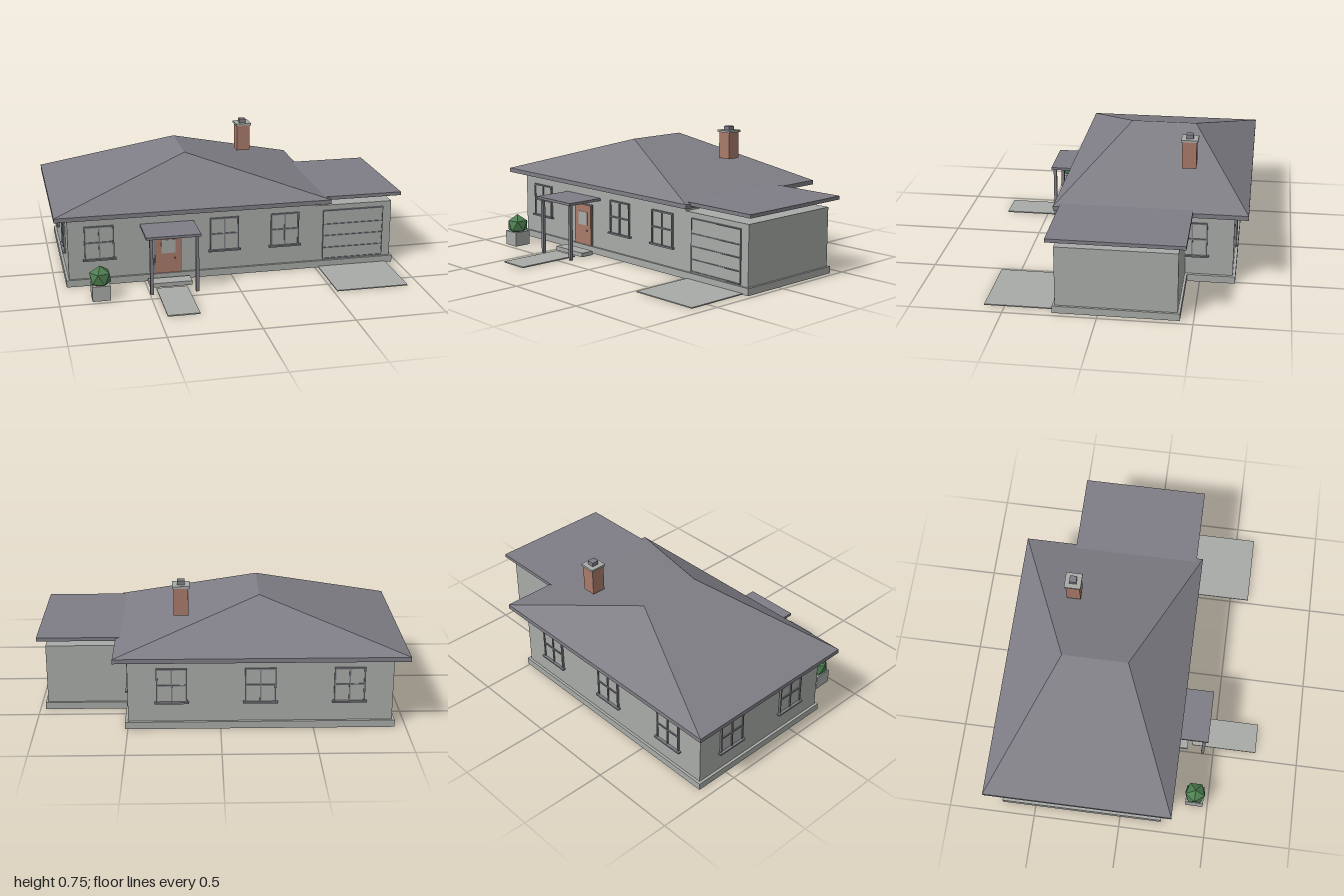
import * as THREE from 'three';

const material = (name, color) => {
  const m = new THREE.MeshStandardMaterial({ color });
  m.name = name;
  return m;
};

export function createModel() {
  const wall = material('pale grey render', 0xa8aba8);
  const slate = material('slate grey', 0x7f7e86);
  const brick = material('brick red', 0xa87a69);
  const leaf = material('leaf green', 0x4f7f52);
  const house = new THREE.Group();
  house.name = 'house';

  // Box given by its min and max on each axis
  const box = (parent, name, mat, [x0, x1], [y0, y1], [z0, z1]) => {
    const mesh = new THREE.Mesh(new THREE.BoxGeometry(x1 - x0, y1 - y0, z1 - z0), mat);
    mesh.position.set((x0 + x1) / 2, (y0 + y1) / 2, (z0 + z1) / 2);
    mesh.name = name;
    parent.add(mesh);
    return mesh;
  };

  // Main block and garage
  box(house, 'mainFoundation', wall, [-0.94, 0.515], [0, 0.04], [-0.695, 0.24]);
  box(house, 'mainWalls', wall, [-0.925, 0.498], [0.04, 0.405], [-0.68, 0.227]);
  box(house, 'garageFoundation', wall, [0.515, 0.97], [0, 0.04], [-0.43, 0.24]);
  box(house, 'garageWalls', wall, [0.498, 0.957], [0.04, 0.375], [-0.417, 0.227]);
  box(house, 'garageRoof', slate, [0.46, 1], [0.418, 0.438], [-0.458, 0.264]);

  // Hipped roof over an eaves slab
  box(house, 'eaves', slate, [-1, 0.57], [0.405, 0.43], [-0.755, 0.3]);
  const hip = new THREE.BufferGeometry();
  hip.setAttribute('position', new THREE.Float32BufferAttribute([
    -1, 0.43, 0.3, 0.57, 0.43, 0.3, 0.57, 0.43, -0.755, -1, 0.43, -0.755,
    -0.215, 0.665, -0.04, -0.215, 0.665, -0.415,
  ], 3));
  hip.setIndex([0, 1, 4, 1, 2, 5, 1, 5, 4, 2, 3, 5, 3, 0, 4, 3, 4, 5]);
  const hipFlat = hip.toNonIndexed();
  hipFlat.computeVertexNormals();
  const roof = new THREE.Mesh(hipFlat, slate);
  roof.name = 'hippedRoof';
  house.add(roof);

  // Chimney
  box(house, 'chimneyStack', brick, [0.17, 0.25], [0.56, 0.715], [-0.45, -0.37]);
  box(house, 'chimneyCap', wall, [0.163, 0.257], [0.715, 0.727], [-0.457, -0.363]);
  box(house, 'chimneyFlue', slate, [0.19, 0.23], [0.727, 0.75], [-0.43, -0.39]);

  // Four-pane window, facing local +z
  const addWindow = (x, z, turn) => {
    const g = new THREE.Group();
    g.name = 'window';
    box(g, 'glass', wall, [-0.08, 0.08], [0.155, 0.342], [0, 0.005]);
    for (const s of [-0.079, 0, 0.079]) {
      box(g, 'uprightBar', slate, [s - 0.004, s + 0.004], [0.152, 0.346], [0, 0.011]);
    }
    for (const y of [0.25, 0.342]) {
      box(g, 'crossBar', slate, [-0.083, 0.083], [y - 0.004, y + 0.004], [0, 0.011]);
    }
    box(g, 'sill', slate, [-0.093, 0.093], [0.147, 0.156], [0, 0.02]);
    g.position.set(x, 0, z);
    g.rotation.y = turn;
    house.add(g);
  };
  for (const x of [-0.75, -0.037, 0.317]) addWindow(x, 0.227, 0);
  for (const x of [-0.69, -0.213, 0.262]) addWindow(x, -0.68, Math.PI);
  for (const z of [-0.453, 0]) addWindow(-0.925, z, -Math.PI / 2);
  addWindow(0.498, -0.453, Math.PI / 2);

  // Front door
  box(house, 'doorFrame', slate, [-0.446, -0.284], [0.04, 0.29], [0.22, 0.232]);
  box(house, 'frontDoor', brick, [-0.438, -0.292], [0.042, 0.283], [0.225, 0.238]);
  box(house, 'doorGlass', wall, [-0.403, -0.322], [0.16, 0.24], [0.236, 0.241]);
  const knob = new THREE.Mesh(new THREE.SphereGeometry(0.005, 8, 6), slate);
  knob.name = 'doorKnob';
  knob.position.set(-0.325, 0.13, 0.241);
  house.add(knob);

  // Porch canopy on two posts
  box(house, 'porchRoof', slate, [-0.52, -0.215], [0.325, 0.34], [0.22, 0.457]);
  for (const x of [-0.49, -0.235]) {
    box(house, 'porchPost', slate, [x - 0.009, x + 0.009], [0, 0.325], [0.428, 0.446]);
  }
  box(house, 'step', wall, [-0.485, -0.245], [0, 0.024], [0.265, 0.345]);
  box(house, 'path', wall, [-0.455, -0.28], [0, 0.007], [0.37, 0.75]);

  // Garage door with panel seams, and driveway
  box(house, 'garageDoor', wall, [0.547, 0.905], [0.042, 0.345], [0.22, 0.233]);
  for (const y of [0.05, 0.117, 0.19, 0.26, 0.342]) {
    box(house, 'garageDoorSeam', slate, [0.547, 0.905], [y - 0.003, y + 0.003], [0.23, 0.238]);
  }
  for (const x of [0.547, 0.905]) {
    box(house, 'garageDoorEdge', slate, [x - 0.002, x + 0.002], [0.045, 0.345], [0.225, 0.236]);
  }
  box(house, 'driveway', wall, [0.52, 0.93], [0, 0.006], [0.24, 0.61]);

  // Planter with a faceted bush, one corner pointing up
  box(house, 'planter', wall, [-0.82, -0.72], [0, 0.085], [0.37, 0.472]);
  const bushShape = new THREE.IcosahedronGeometry(0.066, 0);
  bushShape.rotateZ(Math.atan(2 / (1 + Math.sqrt(5))));
  const bush = new THREE.Mesh(bushShape, leaf);
  bush.name = 'bush';
  bush.position.set(-0.77, 0.121, 0.42);
  house.add(bush);

  return house;
}
